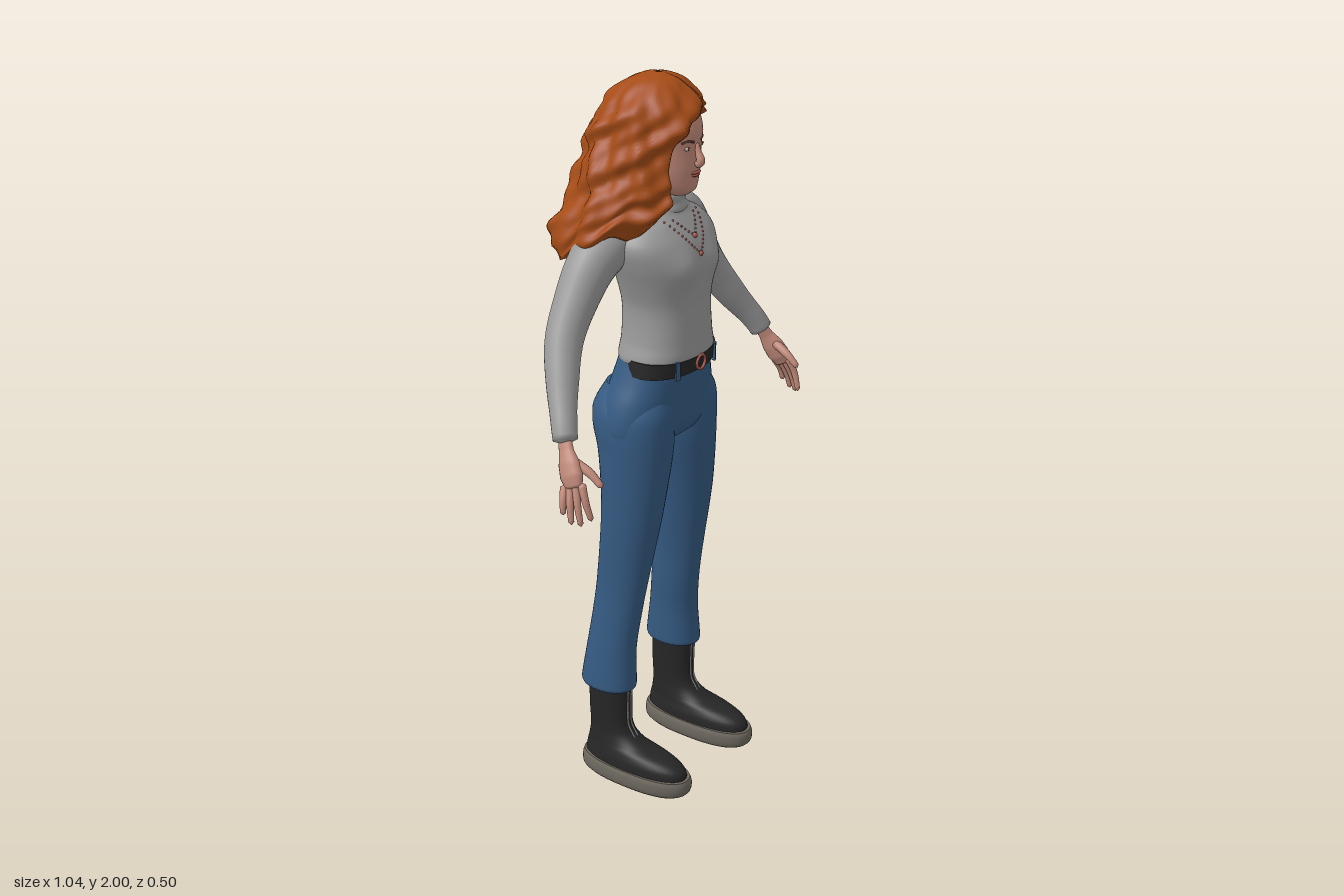
import * as THREE from 'three';
import { mergeVertices } from 'three/addons/utils/BufferGeometryUtils.js';

const mat = (name, color) => Object.assign(new THREE.MeshStandardMaterial({ color }), { name });
const M = {
  hair: mat('copper hair', 0xa54c17), skin: mat('skin', 0xc18a7a), wool: mat('grey wool', 0x9a9a9a),
  denim: mat('blue denim', 0x355a82), black: mat('black leather', 0x262626), sole: mat('sole rubber', 0x6e6960),
  rose: mat('rose', 0xa5564c), eye: mat('eye white', 0xcfc6be), brow: mat('dark brown', 0x54301f), metal: mat('zip metal', 0xb4b4b4),
};

// Smooth interpolation of key rows [y, ...values] at height y
function at(keys, y) {
  let i = 0;
  while (i < keys.length - 2 && y > keys[i + 1][0]) i++;
  const a = keys[i], b = keys[i + 1], p = keys[i - 1] || a, q = keys[i + 2] || b;
  const h = b[0] - a[0], t = (y - a[0]) / h, t2 = t * t, t3 = t2 * t;
  return a.map((v, k) => {
    const m0 = (b[k] - p[k]) / (b[0] - p[0]) * h, m1 = (q[k] - v) / (q[0] - a[0]) * h;
    return (2 * t3 - 3 * t2 + 1) * v + (t3 - 2 * t2 + t) * m0 + (3 * t2 - 2 * t3) * b[k] + (t3 - t2) * m1;
  });
}

// Heights running through all keys, each span divided
function levels(keys, div) {
  const ys = [keys[0][0]];
  for (let i = 1; i < keys.length; i++)
    for (let j = 1; j <= div; j++) ys.push(keys[i - 1][0] + (keys[i][0] - keys[i - 1][0]) * j / div);
  return ys;
}

// Surface through closed rings of [x, y, z], ordered upward
function skinRings(rings, caps = true) {
  const n = rings[0].length, pos = rings.flat(2), idx = [];
  for (let i = 0; i < rings.length - 1; i++)
    for (let j = 0; j < n; j++) {
      const a = i * n + j, b = i * n + (j + 1) % n;
      idx.push(a, b, b + n, a, b + n, a + n);
    }
  if (caps) for (const top of [false, true]) {
    const ring = top ? rings[rings.length - 1] : rings[0], c = pos.length / 3;
    pos.push(...[0, 1, 2].map(k => ring.reduce((s, v) => s + v[k], 0) / n), ...ring.flat());
    for (let j = 0; j < n; j++) {
      const a = c + 1 + j, b = c + 1 + (j + 1) % n;
      idx.push(c, ...(top ? [a, b] : [b, a]));
    }
  }
  const g = new THREE.BufferGeometry();
  g.setAttribute('position', new THREE.Float32BufferAttribute(pos, 3));
  g.setIndex(idx);
  g.computeVertexNormals();
  return g;
}

// Loft of rounded sections: keys are [y, centreX, halfWidth, zBack, zFront]
function loft(keys, { s = 1, p = 2, n = 40, div = 4, bump } = {}) {
  const pw = v => Math.sign(v) * Math.abs(v) ** (2 / p);
  return skinRings(levels(keys, div).map(y => {
    const [, cx, rx, zb, zf] = at(keys, y);
    return Array.from({ length: n }, (_, j) => {
      const th = j / n * Math.PI * 2;
      const v = [s * cx + rx * pw(Math.sin(th)), y, (zb + zf) / 2 + (zf - zb) / 2 * pw(Math.cos(th))];
      if (bump) v[2] += bump(v[0], y, Math.cos(th));
      return v;
    });
  }));
}

// Front z of a loft at (x, y)
function front(keys, x, y, p = 2) {
  const [, cx, rx, zb, zf] = at(keys, y);
  return (zb + zf) / 2 + (zf - zb) / 2 * Math.max(0, 1 - Math.abs((x - cx) / rx) ** p) ** (1 / p);
}

// Tapered tube along points [x, y, z, radius]; flat squeezes it in x
function limb(pts, { s = 1, flat = 1, seg = 24, n = 16 } = {}) {
  const curve = new THREE.CatmullRomCurve3(pts.map(p => new THREE.Vector3(p[0] * s, p[1], p[2])));
  let g = new THREE.TubeGeometry(curve, seg, 1, n);
  const P = g.attributes.position, v = new THREE.Vector3();
  for (let i = 0; i < P.count; i++) {
    const u = Math.floor(i / (n + 1)) / seg, c = curve.getPointAt(u);
    const f = u * (pts.length - 1), k = Math.min(Math.floor(f), pts.length - 2);
    let r = THREE.MathUtils.lerp(pts[k][3], pts[k + 1][3], f - k);
    if (u === 0 || u === 1) r *= 0.02;
    v.fromBufferAttribute(P, i).sub(c).multiplyScalar(r);
    v.x *= flat;
    P.setXYZ(i, c.x + v.x, c.y + v.y, c.z + v.z);
  }
  g.deleteAttribute('uv'); g.deleteAttribute('normal');
  g = mergeVertices(g, 1e-6);
  g.computeVertexNormals();
  return g;
}

const TORSO = [[1.25, 0, .137, -.05, .158], [1.265, 0, .14, -.052, .166], [1.31, 0, .127, -.048, .166], [1.4, 0, .12, -.05, .164],
  [1.47, 0, .138, -.06, .166], [1.53, 0, .158, -.07, .164], [1.58, 0, .165, -.075, .148], [1.62, 0, .135, -.065, .122],
  [1.645, 0, .09, -.04, .104], [1.665, 0, .062, -.015, .098]];
const COLLAR = [[1.64, 0, .066, -.02, .1], [1.652, 0, .07, -.024, .106], [1.67, 0, .064, -.018, .1], [1.69, 0, .062, -.014, .1], [1.7, 0, .054, -.006, .09]];
const PELVIS = [[1.035, 0, .18, -.06, .12], [1.06, 0, .194, -.074, .132], [1.1, 0, .193, -.08, .138], [1.15, 0, .18, -.076, .144],
  [1.2, 0, .158, -.064, .15], [1.255, 0, .138, -.05, .155]];
const LEG = [[.285, .157, .058, -.102, .058], [.295, .157, .06, -.105, .06], [.4, .151, .055, -.09, .056], [.5, .141, .053, -.078, .066],
  [.6, .134, .053, -.068, .082], [.8, .121, .071, -.056, .115], [.9, .112, .082, -.06, .126], [1, .102, .0925, -.073, .134],
  [1.07, .1, .094, -.091, .136], [1.12, .096, .088, -.092, .136], [1.18, .08, .07, -.065, .12]];
const BOOT = [[.045, .155, .062, -.098, .234], [.075, .155, .059, -.095, .226], [.095, .155, .053, -.09, .185], [.112, .154, .048, -.086, .105],
  [.145, .153, .043, -.082, .056], [.2, .153, .042, -.085, .045], [.31, .153, .045, -.086, .048]];
const SOLE = [[0, .155, .06, -.095, .225], [.012, .155, .069, -.106, .242], [.04, .155, .07, -.106, .246], [.054, .155, .066, -.102, .241]];
const HEAD = [[1.695, 0, .03, .04, .122], [1.71, 0, .046, .01, .14], [1.74, 0, .062, -.01, .145], [1.77, 0, .07, -.025, .148],
  [1.82, 0, .077, -.035, .148], [1.87, 0, .08, -.045, .152], [1.92, 0, .066, -.04, .132], [1.955, 0, .03, -.01, .08]];
// Hair rows: y, xMin, xMax, zBack, zFront, opening angle on +x side, on -x side (degrees from front)
const HAIR = [[1.57, -.23, .21, -.235, .1, 75, 35], [1.62, -.24, .218, -.232, .13, 75, 28], [1.67, -.217, .192, -.205, .155, 78, 25],
  [1.72, -.195, .168, -.18, .16, 80, 28], [1.78, -.178, .145, -.16, .16, 80, 32], [1.84, -.158, .135, -.148, .163, 72, 30],
  [1.88, -.148, .128, -.13, .163, 55, 18], [1.915, -.135, .118, -.11, .157, 32, -5], [1.94, -.118, .106, -.095, .142, 18, -14],
  [1.97, -.085, .078, -.06, .11, 15, -15], [1.99, -.05, .045, -.02, .08, 15, -15], [2, -.008, .008, .02, .04, 15, -15]];

// Wavy hair: C-shaped sections with an outer and inner wall, open over the face
function hairGeometry(n = 90) {
  const rad = Math.PI / 180;
  const ring = y => {
    const [, x0, x1, zb, zf, aL, aR] = at(HAIR, y);
    const low = THREE.MathUtils.clamp((1.76 - y) / .19, 0, 1), calm = THREE.MathUtils.clamp((2 - y) / .12, 0, 1);
    const wall = (j, inner) => {
      const th = (aL + (360 - aR - aL) * j / (n - 1)) * rad;
      const wave = (.007 * Math.sin(7 * th + 26 * y) + .006 * Math.sin(4 * th - 55 * y) + .005 * Math.sin(15 * th + 34 * y)
        + .004 * Math.sin(9 * th - 90 * y)) * calm;
      const k = inner ? .72 - .2 * low : 1, r = inner ? 0 : wave;
      const drop = low * (.055 * Math.cos(th) + .012 * Math.sin(11 * th) + .008 * Math.sin(5 * th + 1));
      return [(x0 + x1) / 2 + ((x1 - x0) / 2 * k + r) * Math.sin(th), y + drop,
        (zb + zf) / 2 + ((zf - zb) / 2 * k + r) * Math.cos(th)];
    };
    return [...Array.from({ length: n }, (_, j) => wall(j, false)), ...Array.from({ length: n }, (_, j) => wall(n - 1 - j, true))];
  };
  const rings = levels(HAIR, 5).map(ring);
  // tuck the lower edge shut
  const r0 = rings[0], hem = r0.map((v, j) => v.map((c, k) => (c + r0[2 * n - 1 - j][k]) / 2));
  return skinRings([hem, ...rings], false);
}

export function createModel() {
  const model = new THREE.Group();
  const add = (name, geo, material, pos, scale) => {
    const m = new THREE.Mesh(geo, material);
    m.name = name;
    if (pos) m.position.set(...pos);
    if (scale) m.scale.set(...scale);
    model.add(m);
    return m;
  };
  const ball = new THREE.SphereGeometry(1, 16, 12);

  // Clothing on the body
  const bust = (x, y, c) => c > 0 ? .016 * Math.exp(-(((Math.abs(x) - .06) / .045) ** 2) - ((y - 1.515) / .045) ** 2) : 0;
  add('sweater', loft(TORSO, { p: 2.3, n: 56, bump: bust }), M.wool);
  add('collar', loft(COLLAR), M.wool);
  add('trouserHips', loft(PELVIS, { p: 2.2, n: 48 }), M.denim);
  const BELT = [[1.225, 0, .149, -.03, .163], [1.266, 0, .143, -.03, .168]];
  add('belt', loft(BELT, { p: 2.2, n: 48, div: 2 }), M.black);
  add('buckle', new THREE.TorusGeometry(.019, .004, 8, 24), M.rose, [0, 1.246, .168]);

  // Head and face
  add('neck', new THREE.CylinderGeometry(.048, .05, .1, 24), M.skin, [0, 1.7, .045]);
  add('head', loft(HEAD), M.skin);
  add('nose', limb([[0, 1.835, .146, .006], [0, 1.81, .153, .008], [0, 1.788, .16, .011], [0, 1.778, .148, .011]]), M.skin);
  add('upperLip', ball, M.rose, [0, 1.758, front(HEAD, 0, 1.758)], [.02, .004, .006]);
  add('lowerLip', ball, M.rose, [0, 1.751, front(HEAD, 0, 1.751)], [.016, .004, .006]);
  add('hair', hairGeometry(), M.hair);

  // Bead necklace in two drops
  for (const [w, bottom, count] of [[.07, 1.545, 11], [.045, 1.59, 6]])
    for (let i = -count; i <= count; i++) {
      const x = w * i / count, y = bottom + (1.635 - bottom) * Math.abs(i / count) ** 1.15;
      add('bead', ball, M.rose, [x, y, front(TORSO, x, y, 2.3) + .002], Array(3).fill(i ? .0028 : .007));
    }

  for (const s of [1, -1]) {
    // Face details
    const eyeZ = front(HEAD, .03, 1.825);
    add('eye', ball, M.eye, [s * .03, 1.825, eyeZ - .001], [.012, .005, .004]);
    add('iris', ball, M.brow, [s * .03, 1.825, eyeZ + .002], [.004, .0045, .002]);
    add('eyebrow', limb([.014, .03, .047].map((x, i) => [x, 1.84 + [0, .005, .001][i], front(HEAD, x, 1.842), .003]), { s, n: 8 }), M.brow);
    add('ear', ball, M.skin, [s * .079, 1.805, .04], [.008, .028, .017]);

    // Arms and hands
    add('sleeve', limb([[.1, 1.592, -.015, .06], [.15, 1.577, -.02, .068], [.205, 1.537, -.03, .061], [.265, 1.46, -.035, .054], [.328, 1.37, -.028, .049],
      [.388, 1.275, .01, .043], [.438, 1.195, .052, .035], [.456, 1.155, .07, .031]], { s, seg: 48, n: 24 }), M.wool);
    add('palm', limb([[.452, 1.17, .064, .02], [.462, 1.145, .076, .023], [.474, 1.11, .095, .033], [.486, 1.075, .113, .035],
      [.49, 1.058, .121, .024]], { s, flat: .55 }), M.skin);
    const tips = [[.488, .985, .172], [.507, .972, .153], [.516, .974, .13], [.516, .994, .104]];
    tips.forEach(([x, y, z], i) => {
      const b = [.484 + i * .002, 1.082 - i * .006, .138 - i * .016];
      add('finger', limb([[...b, .011], [(b[0] + x) / 2 + .006, (b[1] + y) / 2, (b[2] + z) / 2 + .002, .0095], [x, y, z, .007]],
        { s, seg: 14, n: 10 }), M.skin);
    });
    add('thumb', limb([[.468, 1.125, .1, .013], [.461, 1.1, .15, .012], [.46, 1.07, .186, .008]], { s, seg: 14, n: 10 }), M.skin);

    // Legs, boots and belt loops
    add('trouserLeg', loft(LEG, { s, p: 2.1 }), M.denim);
    add('boot', loft(BOOT, { s, p: 2.2 }), M.black);
    add('bootSole', loft(SOLE, { s, p: 2.4, div: 3 }), M.sole);
    for (const dx of [-.007, .007])
      add('zip', limb([.13, .17, .21, .25, .284].map(y => [.155 + dx, y, front(BOOT, .155 + dx, y, 2.2) + .001, .0025]), { s, n: 6 }), M.metal);
    add('beltLoop', new THREE.BoxGeometry(.012, .05, .008), M.denim, [s * .085, 1.243, front(BELT, .085, 1.243, 2.2) + .002]).rotation.y = s * .4;
  }
  return model;
}
